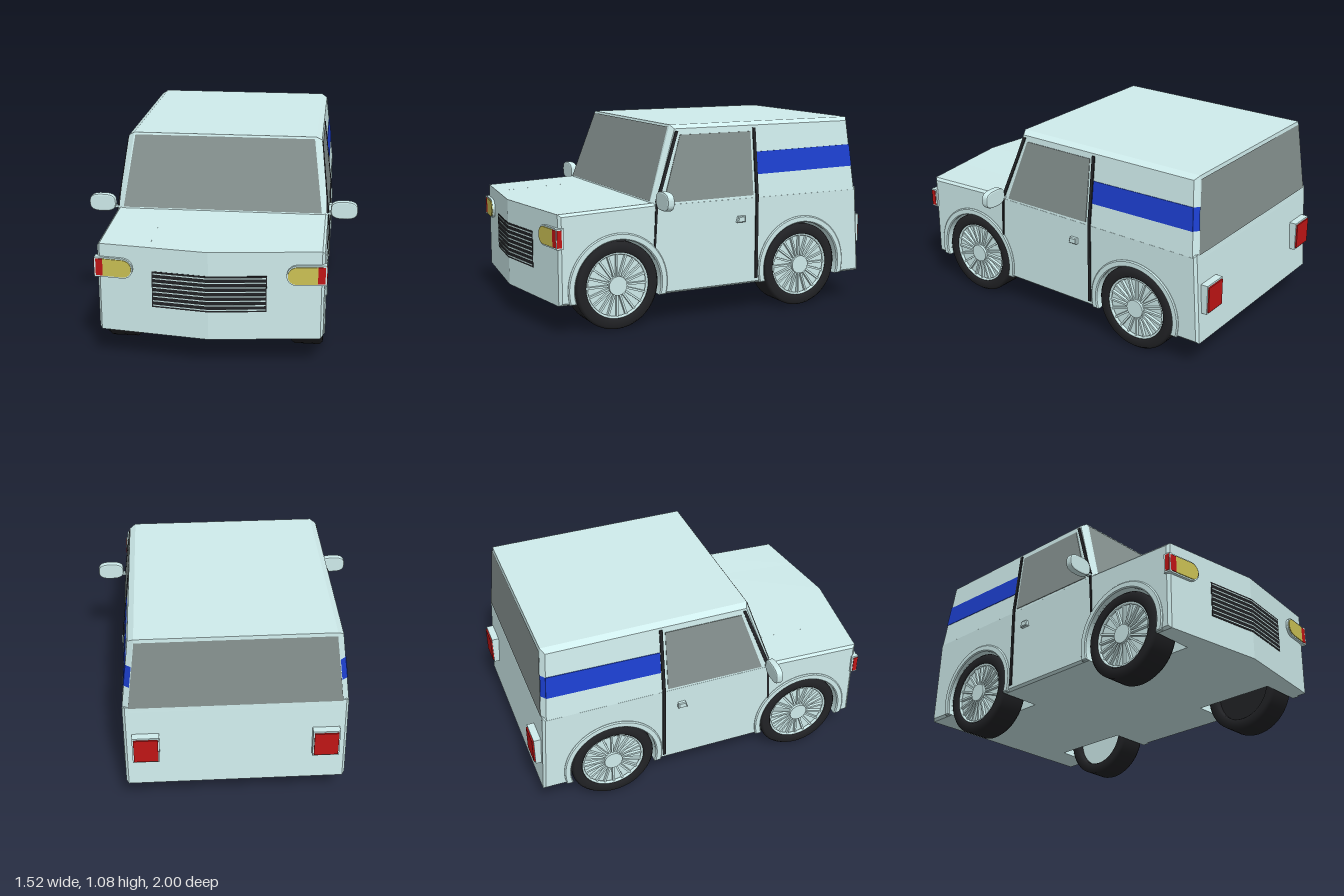
import * as THREE from 'three';

const mat = (color, side = THREE.FrontSide) => new THREE.MeshStandardMaterial({ color, side });
const paint = mat(0xcfecec), black = mat(0x222326), glass = mat(0x85918f, THREE.DoubleSide);
const blue = mat(0x1c3fd0, THREE.DoubleSide), red = mat(0xc01515), yellow = mat(0xccc255);

// Surface rules: side lean above the belt line, windscreen, rear face, pointed nose
const BELT = 0.67, HALF = 0.595, NOSE = 0.13;
const sideX = y => HALF - Math.max(0, y - BELT) * 0.12;
const screenZ = y => 0.39 - (y - BELT) * 0.339;
const rearZ = y => -0.94 + (y - BELT) * 0.0847;

function bend(geo, rule) {
  const p = geo.attributes.position, v = new THREE.Vector3();
  for (let i = 0; i < p.count; i++) {
    rule(v.fromBufferAttribute(p, i));
    p.setXYZ(i, v.x, v.y, v.z);
  }
  geo.computeVertexNormals();
  return geo;
}
const lean = v => { v.x -= Math.sign(v.x) * Math.max(0, v.y - BELT) * 0.12; };
const point = v => { if (v.z > 0.9) v.z -= NOSE * Math.abs(v.x); };

const poly = pts => new THREE.Shape(pts.map(p => new THREE.Vector2(...p)));

// Extrudes a (z, y) outline across x from x0 to x1
function slab(shape, x0, x1, { bevel = 0, thick = bevel, steps = 1 } = {}) {
  const geo = new THREE.ExtrudeGeometry(shape, {
    depth: x1 - x0 - 2 * thick, steps, curveSegments: 24,
    bevelEnabled: bevel > 0, bevelSize: bevel, bevelOffset: -bevel, bevelThickness: thick, bevelSegments: 1,
  });
  return geo.rotateY(-Math.PI / 2).translate(x1 - thick, 0, 0);
}
const sideSlab = (s, shape, x0, x1, opt) => slab(shape, s > 0 ? x0 : -x1, s > 0 ? x1 : -x0, opt);

function quad(a, b, c, d) {
  const geo = new THREE.BufferGeometry();
  geo.setAttribute('position', new THREE.Float32BufferAttribute([...a, ...b, ...c, ...a, ...c, ...d], 3));
  geo.computeVertexNormals();
  return geo;
}

// Lamp outline: square outside, round inside
function lampShape(s, xIn, xOut, y, r) {
  const pts = [[s * xOut, y - r], [s * xOut, y + r]];
  for (let i = 0; i <= 10; i++) {
    const a = Math.PI / 2 + i * Math.PI / 10;
    pts.push([s * (xIn + r + r * Math.cos(a)), y + r * Math.sin(a)]);
  }
  return poly(pts);
}

const AXLES = [-0.56, 0.59], HUB_Y = 0.245, FLOOR = 0.17;

function bodyOutline(withArches) {
  const s = new THREE.Shape();
  s.moveTo(-0.972, FLOOR);
  if (withArches) {
    const r = 0.252, a = Math.asin((HUB_Y - FLOOR) / r);
    for (const z of AXLES) {
      s.lineTo(z - r * Math.cos(a), FLOOR);
      s.absarc(z, HUB_Y, r, Math.PI + a, -a, true);
    }
  }
  s.lineTo(1, FLOOR);
  s.lineTo(1, 0.655);
  s.lineTo(0.38, 0.675);
  s.lineTo(-0.94, 0.675);
  s.closePath();
  return s;
}

function makeWheel(s, front) {
  const wheel = new THREE.Group();
  wheel.name = front ? 'frontWheel' : 'rearWheel';
  const put = (name, geo, m) => {
    const mesh = new THREE.Mesh(geo, m);
    mesh.name = name;
    wheel.add(mesh);
  };
  const profile = [[0.18, -0.075], [0.188, -0.085], [0.226, -0.085], [0.24, -0.068], [0.24, 0.068],
    [0.226, 0.085], [0.188, 0.085], [0.18, 0.075], [0.18, -0.075]].map(p => new THREE.Vector2(...p));
  put('tyre', new THREE.LatheGeometry(profile, 48).rotateZ(Math.PI / 2), black);
  const disc = (r, w, x) => new THREE.CylinderGeometry(r, r, w, 40).rotateZ(Math.PI / 2).translate(s * x, 0, 0);
  put('rimDisc', disc(0.182, 0.03, 0.04), paint);
  put('innerDisc', disc(0.182, 0.06, -0.01), front ? black : paint);
  put('rimRing', new THREE.TorusGeometry(0.177, 0.009, 8, 40).rotateY(Math.PI / 2).translate(s * 0.066, 0, 0), paint);
  put('hub', disc(0.052, 0.05, 0.06), paint);
  for (let i = 0; i < 20; i++) {
    const spoke = new THREE.BoxGeometry(0.018, 0.13, 0.011).translate(s * 0.063, 0.11, 0);
    put('spoke', spoke.rotateX(i * Math.PI / 10), paint);
  }
  return wheel;
}

export function createModel() {
  const car = new THREE.Group();
  car.name = 'car';
  const add = (name, geo, m = paint) => {
    const mesh = new THREE.Mesh(geo, m);
    mesh.name = name;
    car.add(mesh);
    return mesh;
  };
  const box = (name, w, h, d, x, y, z, m) => add(name, new THREE.BoxGeometry(w, h, d).translate(x, y, z), m);

  // Lower body: full centre section plus outer sections with wheel arches
  add('centreBody', bend(slab(bodyOutline(false), -0.35, 0.35, { steps: 2 }), point));
  for (const s of [1, -1])
    add('sideBody', bend(sideSlab(s, bodyOutline(true), 0.3, HALF, { bevel: 0.014 }), point));

  // Cabin with chamfered pillars
  const cabin = poly([[screenZ(0.64), 0.64], [screenZ(1.083), 1.083], [rearZ(1.083), 1.083], [rearZ(0.64), 0.64]]);
  add('cabin', bend(slab(cabin, -HALF, HALF, { bevel: 0.02, thick: 0.03 }), lean));

  // Windscreen and rear window
  const pane = (name, zAt, out, y0, y1, w0, w1) => add(name, quad(
    [-w0, y0, zAt(y0) + out], [w0, y0, zAt(y0) + out], [w1, y1, zAt(y1) + out], [-w1, y1, zAt(y1) + out]), glass);
  pane('windscreen', screenZ, 0.004, 0.682, 1.072, 0.56, 0.508);
  pane('rearWindow', (y) => rearZ(y), -0.004, 0.67, 1.065, 0.563, 0.515);

  // Grille following the pointed nose
  const grillePart = (name, w, h, y, z, m) =>
    add(name, bend(new THREE.BoxGeometry(w, h, 0.012, 2).translate(0, y, z), point), m);
  grillePart('grilleBack', 0.6, 0.2, 0.425, 0.996, black);
  for (let i = 0; i < 8; i++) grillePart('grilleBar', 0.59, 0.006, 0.337 + i * 0.025, 0.998, paint);

  for (const s of [1, -1]) {
    // Door glass, black trim and body stripe
    const trim = (name, pts, m, out = 0.003) =>
      add(name, bend(sideSlab(s, poly(pts), HALF - 0.01, HALF + out), lean), m);
    trim('sideWindow', [[0.325, 0.672], [0.205, 1.03], [-0.235, 1.03], [-0.235, 0.676]], glass);
    trim('screenPillarTrim', [[0.372, 0.68], [0.352, 0.68], [0.215, 1.05], [0.233, 1.05]], black, 0.005);
    trim('doorFrontTrim', [[0.372, 0.43], [0.382, 0.43], [0.372, 0.67], [0.358, 0.67]], black, 0.005);
    trim('doorRearTrimLow', [[-0.268, 0.2], [-0.25, 0.2], [-0.25, BELT], [-0.268, BELT]], black, 0.006);
    trim('doorRearTrimHigh', [[-0.268, BELT], [-0.25, BELT], [-0.25, 1.05], [-0.268, 1.05]], black, 0.006);
    trim('stripe', [[-0.27, 0.79], [-0.27, 0.915], [-0.9, 0.925], [-0.91, 0.8]], blue);
    const edge = (y, inset, z) => [s * (sideX(y) + 0.003 - inset), y, rearZ(y) + z];
    add('stripeCorner', quad(edge(0.8, 0, 0.021), edge(0.8, 0.032, -0.003),
      edge(0.925, 0.032, -0.003), edge(0.925, 0, 0.021)), blue);

    // Wheels and arch flares
    for (const z of AXLES) {
      const wheel = makeWheel(s, z > 0);
      wheel.position.set(s * 0.505, HUB_Y, z);
      car.add(wheel);
      const flare = new THREE.Shape();
      flare.absarc(z, HUB_Y, 0.288, -0.26, Math.PI + 0.26, false);
      flare.absarc(z, HUB_Y, 0.25, Math.PI + 0.3, -0.3, true);
      add('archFlare', sideSlab(s, flare, 0.57, 0.604, { bevel: 0.006 }));
    }

    // Headlamp: frame, yellow lens and red corner marker
    const lamp = (name, shape, depth, z, m) => add(name, bend(
      new THREE.ExtrudeGeometry(shape, { depth, bevelEnabled: false }).translate(0, 0, z), point), m);
    lamp('headlampFrame', lampShape(s, 0.4, 0.604, 0.53, 0.055), 0.025, 0.99, paint);
    lamp('headlampLens', lampShape(s, 0.407, 0.562, 0.53, 0.047), 0.025, 0.995, yellow);
    lamp('markerFront', poly([[s * 0.562, 0.484], [s * 0.601, 0.484], [s * 0.601, 0.576], [s * 0.562, 0.576]]),
      0.025, 0.995, red);
    box('markerFrame', 0.02, 0.11, 0.04, s * 0.597, 0.53, 0.922, paint);
    box('markerSide', 0.02, 0.092, 0.026, s * 0.6, 0.53, 0.926, red);

    // Tail lamp
    box('tailLampBase', 0.145, 0.165, 0.04, s * 0.48, 0.42, -0.972, paint);
    box('tailLamp', 0.13, 0.145, 0.012, s * 0.48, 0.42, -0.994, red);

    // Mirror on a short arm
    const head = new THREE.Shape();
    head.absellipse(0, 0, 0.075, 0.051, 0, Math.PI * 2);
    bend(new THREE.BufferGeometry().copy(new THREE.PlaneGeometry()), () => {});
    const mirror = new THREE.ExtrudeGeometry(poly(head.getPoints(24).map(p => {
      const a = Math.atan2(p.y / 0.051, p.x / 0.075), c = Math.cos(a), d = Math.sin(a);
      return [0.075 * Math.sign(c) * Math.abs(c) ** 0.7, 0.051 * Math.sign(d) * Math.abs(d) ** 0.7];
    })), { depth: 0.024, bevelSize: 0.008, bevelOffset: -0.008, bevelThickness: 0.008, bevelSegments: 2 });
    add('mirror', mirror.translate(s * 0.684, 0.698, 0.347));
    box('mirrorArm', 0.05, 0.014, 0.02, s * 0.605, 0.675, 0.358, paint);

    // Door handle
    const handle = poly([[-0.178, 0.53], [-0.125, 0.53], [-0.135, 0.565], [-0.178, 0.565]]);
    add('doorHandle', sideSlab(s, handle, 0.59, 0.615, { bevel: 0.005 }));
  }
  return car;
}
